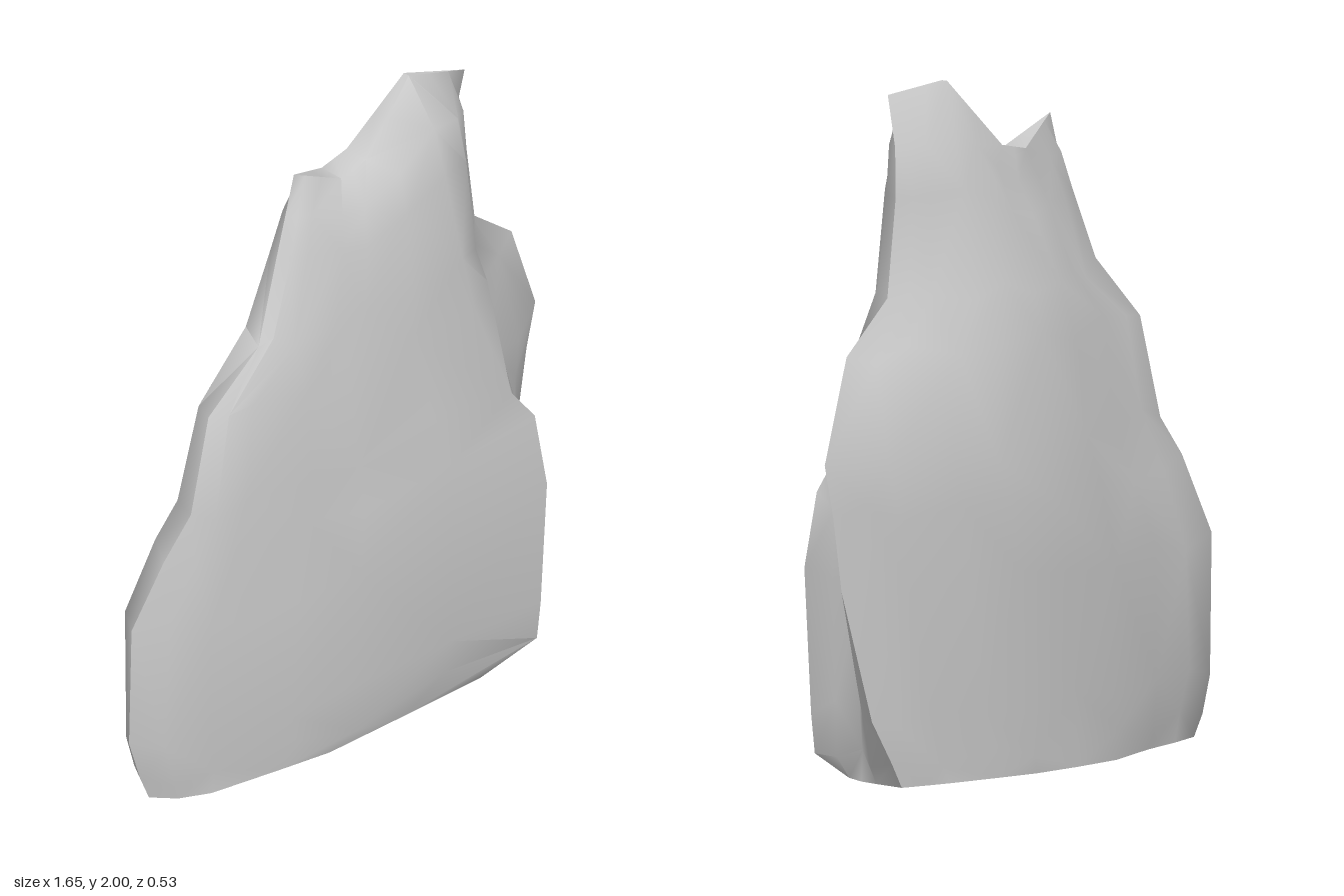
import * as THREE from 'three';
import { toCreasedNormals } from 'three/addons/utils/BufferGeometryUtils.js';

// Each level: y, left tip x z, front ridge x z, crease x z, right tip x z, back z
const LEVELS = [
  [0.00, -0.77, 0.00, 0.35, 0.21, 0.57, 0.04, 0.585, -0.13, -0.222],
  [0.07, -0.795, -0.01, 0.55, 0.235, 0.56, 0.05, 0.62, -0.125, -0.225],
  [0.20, -0.83, -0.02, 0.56, 0.248, 0.56, 0.05, 0.69, -0.11, -0.23],
  [0.58, -0.82, -0.02, 0.56, 0.265, 0.56, 0.06, 0.775, -0.07, -0.257],
  [0.80, -0.74, 0.03, 0.545, 0.24, 0.555, 0.07, 0.80, -0.06, -0.26],
  [0.95, -0.67, 0.07, 0.46, 0.22, 0.52, 0.08, 0.825, -0.05, -0.25],
  [1.25, -0.60, 0.07, 0.36, 0.18, 0.46, 0.09, 0.71, -0.03, -0.215],
  [1.40, -0.40, 0.07, 0.32, 0.165, 0.43, 0.095, 0.525, -0.02, -0.185],
  [1.70, -0.29, 0.03, 0.29, 0.13, 0.41, 0.085, 0.49, -0.02, -0.13],
  [1.85, -0.24, 0.015, 0.28, 0.095, 0.39, 0.08, 0.47, 0.0, -0.09],
];
// Fractions along the broad faces, paired with how far they bulge
const FRONT = [[0.05, 0.3], [0.13, 0.52], [0.33, 0.75], [0.48, 0.91], [0.74, 0.96], [1, 1]];
const BACK = [[0.06, 0.24], [0.12, 0.45], [0.25, 0.78], [0.35, 1], [0.48, 1], [0.61, 0.95], [0.77, 0.62], [0.88, 0.47], [0.97, 0.3]];
// Uneven top edge with two peaks and a notch: x, y, front z, back z
const CREST = [
  [-0.19, 1.86, 0, 0], [-0.02, 1.78, 0.02, -0.06], [0.08, 1.8, 0.02, -0.06],
  [0.26, 2, 0.01, -0.01], [0.43, 1.97, 0.065, 0.065],
];
const CREST_X = [-0.19, -0.15, -0.09, -0.02, 0.03, 0.08, 0.17, 0.26, 0.32, 0.38, 0.43];
const N = 20;
const HALF = N / 2;
const lerp = THREE.MathUtils.lerp;

// Value of one crest column at x
function crestAt(x, column) {
  const last = CREST.length - 1;
  if (x <= CREST[0][0]) return CREST[0][column];
  if (x >= CREST[last][0]) return CREST[last][column];
  const i = CREST.findIndex((p) => p[0] >= x);
  const p = CREST[i - 1], q = CREST[i];
  return lerp(p[column], q[column], (x - p[0]) / (q[0] - p[0]));
}

// Cross-section running left tip, front, right tip, back
function ring([y, lx, lz, rx, rz, cx, cz, wx, wz, bz], level) {
  const pts = [[lx, lz]];
  FRONT.forEach(([t, f]) => pts.push([lerp(lx, rx, t), lerp(lz, rz, f)]));
  // Overhanging shoulder, crease, side lobe and right tip
  pts.push([lerp(rx, cx, 0.8) + 0.012, lerp(rz, cz, 0.55)], [cx, cz]);
  pts.push([lerp(cx, wx, 0.5), lerp(cz, wz, 0.5) + 0.02], [wx, wz]);
  BACK.forEach(([t, f]) => pts.push([lerp(wx, lx, t), lerp(t < 0.5 ? wz : lz, bz, f)]));
  return pts.map(([x, z], i) => {
    if (y > 1.4) return [x, lerp(1.4, crestAt(x, 1), (y - 1.4) / 0.6), z];
    if (y === 0 || i % HALF === 0) return [x, y, z];
    // Stagger the inner rows so that facets look chipped
    const chip = Math.sin(i * 2.4 + level * 1.7);
    return [x, y + 0.025 * chip, z + 0.005 * Math.sin(i * 4.1 + level * 2.9)];
  });
}

// Topmost ring, following the crest
function crestRing() {
  return Array.from({ length: N }, (_, i) => {
    const x = CREST_X[i <= HALF ? i : N - i];
    return [x, crestAt(x, 1), crestAt(x, i <= HALF ? 2 : 3)];
  });
}

function slabGeometry() {
  const rings = [...LEVELS.map(ring), crestRing()];
  const index = [];
  // Side walls, with alternating diagonals
  for (let j = 0; j < rings.length - 1; j++) {
    for (let i = 0; i < N; i++) {
      const a = j * N + i, b = j * N + (i + 1) % N, c = b + N, d = a + N;
      if ((i + j) % 2) index.push(a, b, c, a, c, d);
      else index.push(a, b, d, b, c, d);
    }
  }
  // Base and crest, bridged from front to back
  const top = (rings.length - 1) * N;
  for (let i = 0; i < HALF; i++) {
    const a = i, b = i + 1, c = N - i - 1, d = (N - i) % N;
    const tris = [];
    if (b !== c) tris.push([a, b, c]);
    if (a !== d) tris.push([a, c, d]);
    tris.forEach(([p, q, r]) => {
      index.push(p, r, q);
      index.push(top + p, top + q, top + r);
    });
  }
  const g = new THREE.BufferGeometry();
  g.setAttribute('position', new THREE.Float32BufferAttribute(rings.flat(2), 3));
  g.setIndex(index);
  return toCreasedNormals(g, 1.0);
}

export function createModel() {
  const stone = new THREE.MeshStandardMaterial({ color: 0xc8c8c8 });
  stone.name = 'pale grey stone';
  const group = new THREE.Group();
  group.name = 'standingRock';
  const slab = new THREE.Mesh(slabGeometry(), stone);
  slab.name = 'rockSlab';
  group.add(slab);
  return group;
}
